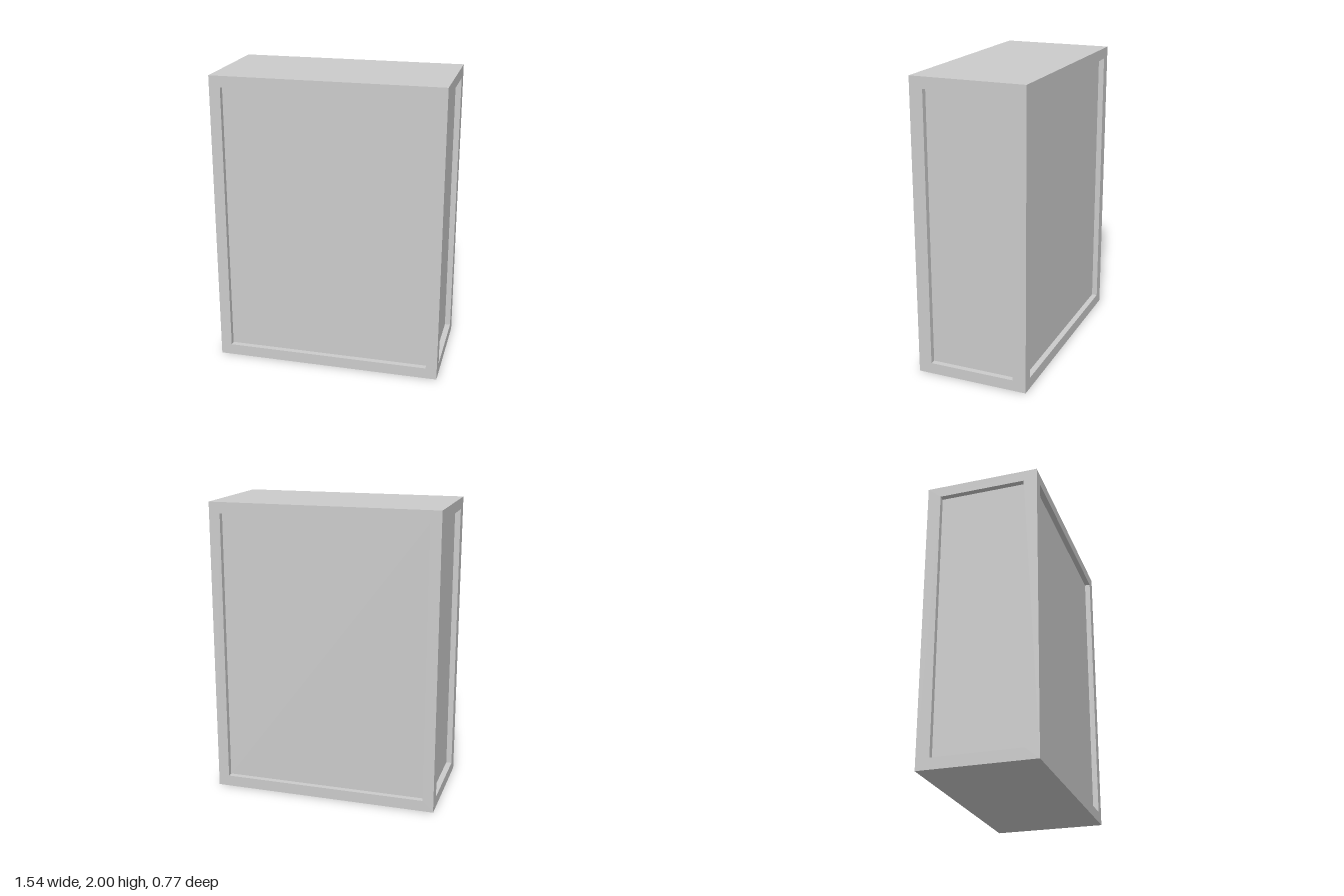
import * as THREE from 'three';

const W = 1.54, H = 2, D = 0.768;      // overall cabinet size
const RAIL = 0.075, DEPTH = 0.038;     // top/bottom border and recess depth

const material = new THREE.MeshStandardMaterial({ color: 0xcccccc });

function add(parent, name, geometry) {
  const mesh = new THREE.Mesh(geometry, material);
  mesh.name = name;
  parent.add(mesh);
  return mesh;
}

// One upright face looking along +z: a flat frame, a sunken panel and the four recess walls
function framedSide(name, width, stile) {
  const side = new THREE.Group();
  side.name = name;
  const w = width / 2 - stile, h = H / 2 - RAIL;

  const outline = new THREE.Shape([
    new THREE.Vector2(-width / 2, -H / 2), new THREE.Vector2(width / 2, -H / 2),
    new THREE.Vector2(width / 2, H / 2), new THREE.Vector2(-width / 2, H / 2),
  ]);
  outline.holes.push(new THREE.Path([
    new THREE.Vector2(-w, -h), new THREE.Vector2(-w, h),
    new THREE.Vector2(w, h), new THREE.Vector2(w, -h),
  ]));
  add(side, 'frame', new THREE.ShapeGeometry(outline));

  add(side, 'recessedPanel', new THREE.PlaneGeometry(2 * w, 2 * h)).position.z = -DEPTH;

  for (const s of [-1, 1]) {
    const upright = add(side, 'recessSideWall', new THREE.PlaneGeometry(DEPTH, 2 * h));
    upright.rotation.y = -s * Math.PI / 2;
    upright.position.set(s * w, 0, -DEPTH / 2);

    const ledge = add(side, 'recessLedge', new THREE.PlaneGeometry(2 * w, DEPTH));
    ledge.rotation.x = s * Math.PI / 2;
    ledge.position.set(0, s * h, -DEPTH / 2);
  }
  return side;
}

export function createModel() {
  const model = new THREE.Group();
  model.name = 'panelledCabinet';

  // Four framed sides, turned about the vertical axis
  const sides = [
    ['frontSide', W, 0.075, D / 2], ['leftSide', D, 0.09, W / 2],
    ['backSide', W, 0.075, D / 2], ['rightSide', D, 0.09, W / 2],
  ];
  sides.forEach(([name, width, stile, distance], i) => {
    const angle = i * Math.PI / 2;
    const side = framedSide(name, width, stile);
    side.rotation.y = angle;
    side.position.set(Math.sin(angle) * distance, H / 2, Math.cos(angle) * distance);
    model.add(side);
  });

  // Plain top and base
  const top = add(model, 'top', new THREE.PlaneGeometry(W, D));
  top.rotation.x = -Math.PI / 2;
  top.position.y = H;
  add(model, 'base', new THREE.PlaneGeometry(W, D)).rotation.x = Math.PI / 2;

  return model;
}
